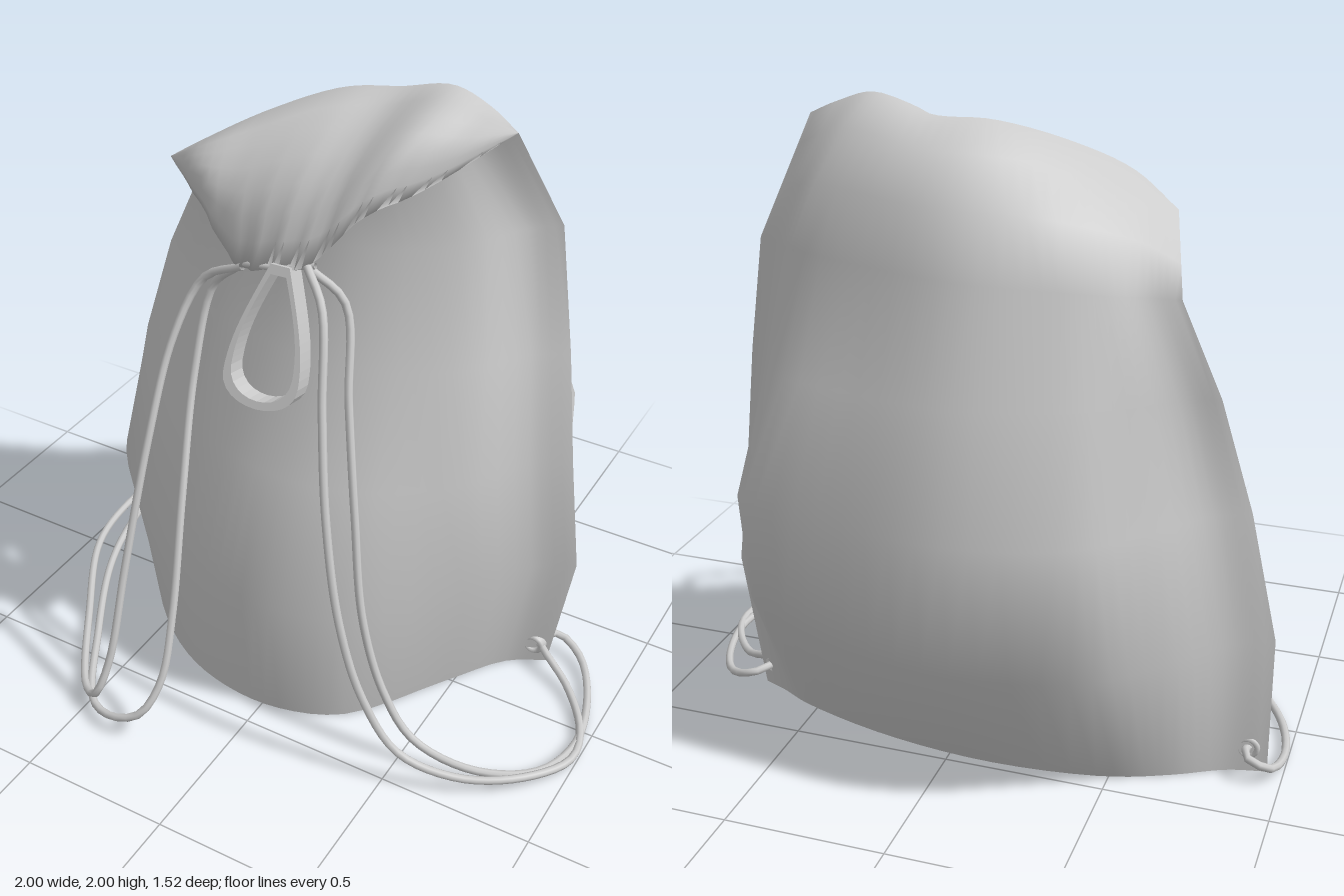
import * as THREE from 'three';

const N = 36; // columns across each cloth panel
const V = (p) => new THREE.Vector3(...p);
const spline = (pts) => new THREE.CatmullRomCurve3(pts.map(V));
const mat = new THREE.MeshStandardMaterial({ color: 0xcccccc, side: THREE.DoubleSide });

// Cloth sheet skinned over rows of points
function sheet(name, rows, flip) {
  const pos = [], idx = [], w = rows[0].length;
  rows.forEach((r) => r.forEach((p) => pos.push(p.x, p.y, p.z)));
  for (let i = 0; i < rows.length - 1; i++) {
    for (let j = 0; j < w - 1; j++) {
      const a = i * w + j, b = a + 1, c = a + w, d = c + 1;
      if (flip) idx.push(a, c, b, b, c, d);
      else idx.push(a, b, c, b, d, c);
    }
  }
  const g = new THREE.BufferGeometry();
  g.setAttribute('position', new THREE.Float32BufferAttribute(pos, 3));
  g.setIndex(idx);
  g.computeVertexNormals();
  const m = new THREE.Mesh(g, mat);
  m.name = name;
  return m;
}

function cord(name, pts, radius = 0.013) {
  const m = new THREE.Mesh(new THREE.TubeGeometry(spline(pts), 72, radius, 8), mat);
  m.name = name;
  return m;
}

// Levels of the bag: seam heights, seam positions, front and back depth,
// fullness of the front corners (fl, fr) and of the back corners (bl, bk)
const levels = [
  { yL: 0, yR: 0, L: [-0.95, -0.25], R: [0.73, -0.25], f: 0.40, b: -0.47, fl: 0.1, fr: 0.4, bl: 0.82, bk: 0.4 },
  { yL: 0.45, yR: 0.45, L: [-0.95, -0.25], R: [0.80, -0.25], f: 0.42, b: -0.76, fl: 0.33, fr: 0.44, bl: 0.82, bk: 0.55 },
  { yL: 0.85, yR: 0.85, L: [-0.86, -0.25], R: [0.75, -0.25], f: 0.27, b: -0.75, fl: 0.33, fr: 0.55, bl: 0.82, bk: 0.8 },
  { yL: 1.2, yR: 1.2, L: [-0.76, -0.28], R: [0.69, -0.30], f: 0.11, b: -0.61, fl: 0.33, fr: 0.58, bl: 0.76, bk: 0.6 },
  { yL: 1.5, yR: 1.58, L: [-0.65, -0.35], R: [0.60, -0.38], f: 0.0, b: -0.52, fl: 0.33, fr: 0.58, bl: 0.6, bk: 0.5 },
  { yL: 1.67, yR: 1.92, L: [-0.56, -0.03], R: [0.50, -0.22], f: -0.02, b: -0.4, fl: 0.33, fr: 0.5, bl: 0.6, bk: 0.4 },
];
// Bulge across a panel: position along the width, share of the depth
const frontBulge = ({ fl, fr }) => [[0, 0], [0.07, fl], [0.23, 0.61 + fl * 0.36], [0.36, 0.9],
  [0.48, 1], [0.6, 1], [0.72, 0.87], [0.85, fr], [0.93, fr * 0.28], [1, 0]];
const backBulge = ({ bl, bk }) => [[0, 0], [0.07, bl * 0.16], [0.16, bl * 0.6], [0.27, bl], [0.48, 1],
  [0.7, 0.72 + bk * 0.26], [0.89, bk], [0.95, bk * 0.4], [1, 0]];

function section(l, bulge, depth) {
  return spline(bulge(l).map(([u, s]) => {
    const z = THREE.MathUtils.lerp(l.L[1], l.R[1], u);
    return [
      THREE.MathUtils.lerp(l.L[0], l.R[0], u),
      THREE.MathUtils.lerp(l.yL, l.yR, u),
      z + (depth - z) * s,
    ];
  })).getPoints(N);
}

const hump = (j) => Math.sin(Math.PI * j / N);

export function createModel() {
  const bag = new THREE.Group();
  bag.name = 'drawstringBag';

  // Front panel, its top edge tucked beneath the flap
  const front = levels.map((l) => section(l, frontBulge, l.f));
  front[5].forEach((p, j) => { p.y -= 0.1 * hump(j); });
  bag.add(sheet('frontPanel', front, false));

  // Back panel, running over the top ridge into the folded flap
  const back = levels.slice(0, 5).map((l) => section(l, backBulge, l.b));
  const ridge = spline([
    [-0.56, 1.67, -0.03], [-0.42, 1.77, 0.0], [-0.25, 1.865, -0.1], [-0.06, 1.935, -0.22],
    [0.1, 1.95, -0.28], [0.28, 2.0, -0.26], [0.4, 1.965, -0.25], [0.5, 1.92, -0.22],
  ]).getPoints(N);
  const shoulders = [0.4, 0.75].map((t) => back[4].map((p, j) => {
    const q = p.clone().lerp(ridge[j], t);
    const swell = 4 * t * (1 - t) * hump(j);
    q.y += 0.03 * swell;
    q.z -= 0.09 * swell * (0.2 + 0.8 * j / N);
    return q;
  }));
  const hem = spline([
    [-0.56, 1.67, -0.03], [-0.38, 1.6, 0.08], [-0.22, 1.47, 0.14], [-0.1, 1.495, 0.16],
    [0.03, 1.54, 0.15], [0.17, 1.7, 0.08], [0.3, 1.77, -0.03], [0.5, 1.92, -0.22],
  ]).getPoints(N);
  const flap = [0.12, 0.25, 0.4, 0.55, 0.7, 0.85, 1].map((t) => ridge.map((p, j) => {
    const q = p.clone().lerp(hem[j], t);
    const arch = Math.sin(Math.PI * t) * hump(j);
    q.y += 0.05 * arch;
    q.z += 0.08 * arch + 0.008 * t * t * Math.sin(j * 2) * hump(j);
    return q;
  }));
  // Hem turned inward to meet the front panel under the flap
  const tuck = hem.map((p, j) => new THREE.Vector3(p.x, p.y + 0.1 * hump(j), p.z - 0.06 * hump(j)));
  bag.add(sheet('backPanelAndFlap', [...back, ...shoulders, ridge, ...flap, tuck, front[5]], true));

  // Base
  bag.add(sheet('base', [back[0], front[0]], false));

  // Eyelets in the lower corners
  for (const [name, x] of [['rightEyelet', -0.89], ['leftEyelet', 0.69]]) {
    const ring = new THREE.Mesh(new THREE.TorusGeometry(0.028, 0.011, 8, 20), mat);
    ring.scale.z = 3;
    ring.position.set(x, 0.08, -0.24);
    ring.name = name;
    bag.add(ring);
  }

  // Gathering cord along the mouth
  bag.add(cord('gatherCord', [[-0.24, 1.46, 0.12], [-0.17, 1.485, 0.14], [-0.08, 1.505, 0.15], [0.05, 1.54, 0.135]], 0.01));

  // Shoulder cords, two strands on each side
  bag.add(cord('rightOuterCord', [
    [-0.2, 1.47, 0.14], [-0.35, 1.38, 0.13], [-0.41, 1.2, 0.22], [-0.42, 0.9, 0.37], [-0.42, 0.5, 0.54],
    [-0.42, 0.2, 0.66], [-0.45, 0.08, 0.71], [-0.53, 0.04, 0.66], [-0.75, 0.02, 0.35], [-0.95, 0.015, 0.02],
    [-0.99, 0.02, -0.18], [-0.96, 0.05, -0.31], [-0.89, 0.08, -0.31], [-0.89, 0.08, -0.24],
  ]));
  bag.add(cord('rightInnerCord', [
    [-0.22, 1.46, 0.13], [-0.32, 1.36, 0.12], [-0.335, 1.1, 0.22], [-0.28, 0.75, 0.4], [-0.23, 0.4, 0.56],
    [-0.22, 0.2, 0.66], [-0.26, 0.1, 0.73], [-0.35, 0.06, 0.75], [-0.46, 0.04, 0.71], [-0.66, 0.02, 0.42],
    [-0.84, 0.015, 0.1], [-0.9, 0.03, -0.1], [-0.89, 0.08, -0.21], [-0.89, 0.08, -0.27],
  ]));
  bag.add(cord('leftOuterCord', [
    [0.03, 1.54, 0.15], [0.12, 1.46, 0.22], [0.19, 1.2, 0.34], [0.26, 0.9, 0.44], [0.34, 0.58, 0.5],
    [0.43, 0.32, 0.51], [0.55, 0.13, 0.49], [0.72, 0.06, 0.43], [0.88, 0.04, 0.32], [0.985, 0.02, 0.15],
    [0.965, 0.02, 0.02], [0.85, 0.03, -0.14], [0.74, 0.07, -0.21], [0.69, 0.08, -0.25],
  ]));
  bag.add(cord('leftInnerCord', [
    [0.03, 1.53, 0.14], [0.13, 1.42, 0.1], [0.2, 1.15, 0.2], [0.28, 0.82, 0.3], [0.35, 0.5, 0.37],
    [0.44, 0.25, 0.39], [0.55, 0.1, 0.39], [0.74, 0.04, 0.36], [0.91, 0.02, 0.25], [0.97, 0.015, 0.08],
    [0.92, 0.02, -0.15], [0.83, 0.04, -0.29], [0.74, 0.07, -0.32], [0.69, 0.08, -0.25],
  ]));

  // Hanging ribbon loop
  const teardrop = (w, top, bottom) => {
    const p = new THREE.Path();
    p.moveTo(0.03 * w / 0.12, top);
    p.bezierCurveTo(0.08, top - 0.14, w, -0.24, w, bottom + 0.1);
    p.bezierCurveTo(w, bottom - 0.02, -w, bottom - 0.02, -w, bottom + 0.1);
    p.bezierCurveTo(-w, -0.24, -0.08, top - 0.14, -0.03 * w / 0.12, top);
    p.closePath();
    return p.getPoints(12);
  };
  const shape = new THREE.Shape(teardrop(0.12, 0, -0.45));
  shape.holes.push(new THREE.Path(teardrop(0.098, -0.03, -0.425)));
  const loop = new THREE.Mesh(new THREE.ExtrudeGeometry(shape, { depth: 0.09, bevelEnabled: false }), mat);
  loop.position.set(-0.06, 1.5, 0.09);
  loop.rotation.set(-0.36, 0.15, 0);
  loop.name = 'ribbonLoop';
  bag.add(loop);

  return bag;
}
